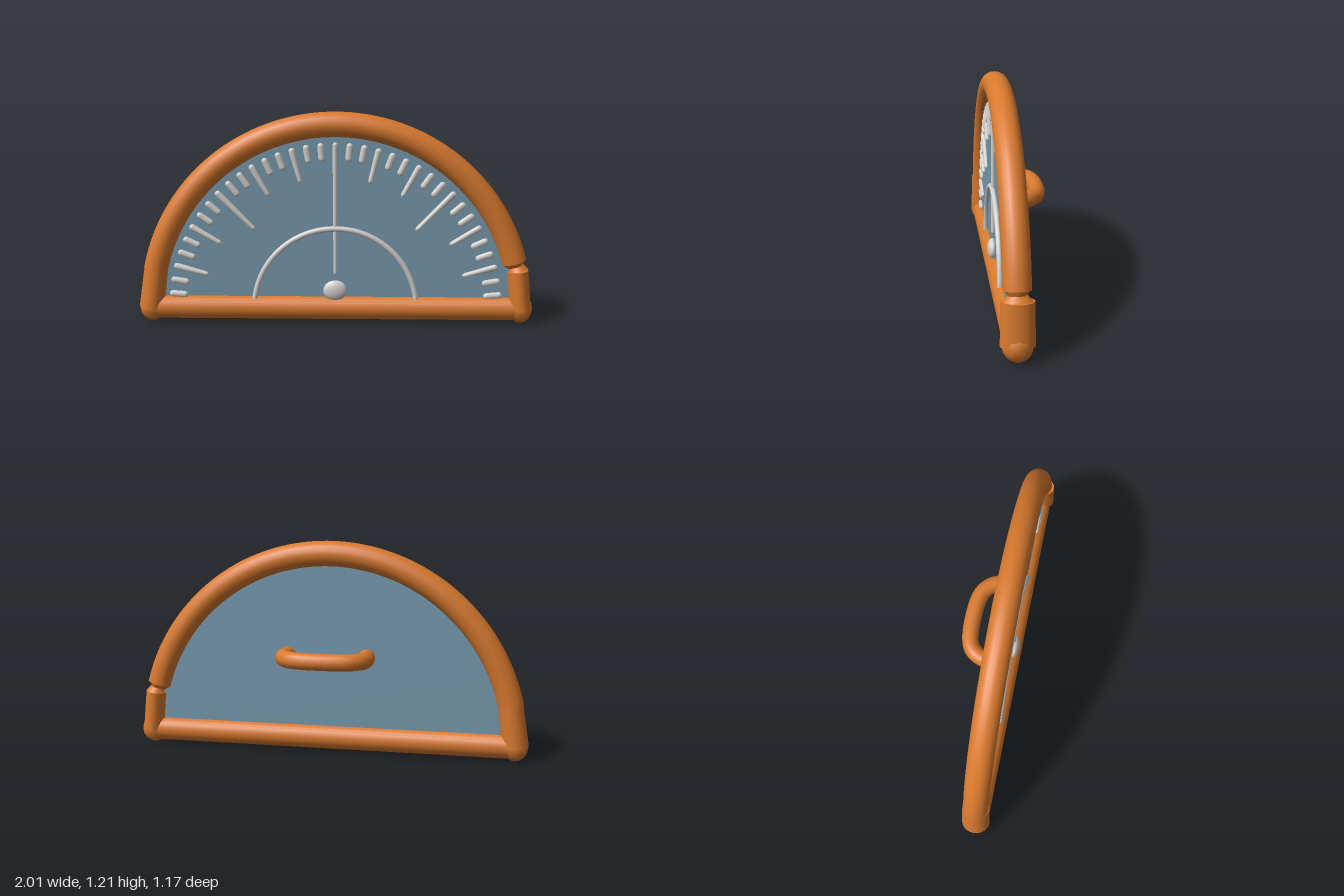
import * as THREE from 'three';

const BASE = 0.085;   // height of the baseline and of the arc centre
const RIM = 1.055;    // rim centreline radius
const FRONT = 0.033;  // depth of the raised markings

const rad = THREE.MathUtils.degToRad;
const V = (x, y, z = 0) => new THREE.Vector3(x, y, z);
const polar = (r, deg, z = 0) => V(r * Math.cos(rad(deg)), BASE + r * Math.sin(rad(deg)), z);

function material(name, color) {
  const m = new THREE.MeshStandardMaterial({ color });
  m.name = name;
  return m;
}

class Arc extends THREE.Curve {
  constructor(r, a, b, z = 0) { super(); Object.assign(this, { r, a, b, z }); }
  getPoint(t, target = new THREE.Vector3()) {
    return target.copy(polar(this.r, this.a + (this.b - this.a) * t, this.z));
  }
}

export function createModel() {
  const orange = material('orange frame', 0xd8792e);
  const blue = material('blue plate', 0x7599ad);
  const grey = material('light grey markings', 0xd2d0cd);

  const model = new THREE.Group();
  model.name = 'protractor';
  const body = new THREE.Group();
  body.name = 'body';
  body.rotation.y = rad(28.5);
  model.add(body);

  function add(name, geometry, mat, parent = body) {
    const mesh = new THREE.Mesh(geometry, mat);
    mesh.name = name;
    parent.add(mesh);
    return mesh;
  }

  // Straight capped rod between two points, with its own depth scale
  function rod(name, a, b, rA, rB, depth = 1) {
    const mesh = add(name, new THREE.CylinderGeometry(rB, rA, a.distanceTo(b), 24), orange);
    mesh.position.copy(a).lerp(b, 0.5);
    mesh.rotation.z = Math.atan2(a.x - b.x, b.y - a.y);
    mesh.scale.z = depth;
    return mesh;
  }

  // Half-disc plate
  const half = new THREE.Shape();
  half.absarc(0, 0, RIM, 0, Math.PI, false);
  half.closePath();
  const plateGeo = new THREE.ExtrudeGeometry(half, { depth: 0.04, bevelEnabled: false, curveSegments: 64 });
  plateGeo.translate(0, BASE, -0.02);
  add('plate', plateGeo, blue);

  // Curved rim and straight base bar
  add('rim', new THREE.TubeGeometry(new Arc(RIM, 15, 168), 80, 0.072, 20), orange);
  rod('baseBar', V(-1.06, BASE), V(1.06, BASE), 0.07, 0.07);

  // Left and right legs, with rounded corners below
  rod('rightLeg', V(-1.06, BASE), V(-1.027, 0.33), 0.075, 0.07, 1.08);
  rod('leftLeg', V(1.06, BASE), V(1.04, 0.31), 0.064, 0.062, 1.38);
  for (const s of [-1, 1]) {
    const corner = add('corner', new THREE.SphereGeometry(1, 12, 8), orange);
    corner.position.set(s * 1.06, BASE, 0);
    corner.scale.set(0.073, 0.083, 0.08);
  }

  // Pinched joint where the rim meets the left leg
  const rimEnd = polar(RIM, 15);
  rod('pinchLower', V(1.04, 0.305), V(1.032, 0.335), 0.062, 0.042, 1.25);
  rod('pinchUpper', V(1.032, 0.33), rimEnd.clone().add(V(-0.002, 0.008)), 0.042, 0.071);

  // Scale marks every five degrees
  const scale = new THREE.Group();
  scale.name = 'scaleMarks';
  body.add(scale);
  for (let deg = 5; deg < 180; deg += 5) {
    let inner = 0.85, r = 0.019;
    if (deg % 15 === 0) inner = 0.75;
    if (deg === 45 || deg === 135) inner = 0.645;
    if (deg === 90) { inner = 0.195; r = 0.015; }
    const outer = 0.957, length = outer - inner;
    const geo = new THREE.CapsuleGeometry(r, length - 2 * r, 4, 10);
    // Narrow the inner end of the longer marks
    if (length > 0.15) {
      const p = geo.attributes.position;
      for (let i = 0; i < p.count; i++) {
        const k = THREE.MathUtils.clamp((p.getY(i) + length / 2) / (length * 0.6), 0, 1);
        p.setX(i, p.getX(i) * (0.65 + 0.35 * k));
      }
      geo.computeVertexNormals();
    }
    const mark = add('mark', geo, grey, scale);
    mark.position.copy(polar((inner + outer) / 2, deg, FRONT - 0.008));
    mark.rotation.z = rad(deg - 90);
    mark.scale.z = 0.85;
  }

  // Inner arc and centre knob
  add('innerArc', new THREE.TubeGeometry(new Arc(0.465, 6, 174, FRONT - 0.004), 48, 0.016, 10), grey);
  const knob = add('centreKnob', new THREE.SphereGeometry(1, 20, 14), grey);
  knob.position.set(0, 0.19, FRONT - 0.003);
  knob.scale.set(0.069, 0.06, 0.03);

  // Carrying handle on the back
  const grip = new THREE.CatmullRomCurve3([
    V(-0.22, 0.56, 0), V(-0.225, 0.56, -0.12), V(-0.17, 0.56, -0.19), V(0, 0.56, -0.215),
    V(0.17, 0.56, -0.19), V(0.235, 0.56, -0.12), V(0.235, 0.56, 0),
  ]);
  add('handle', new THREE.TubeGeometry(grip, 40, 0.048, 14), orange);

  return model;
}
